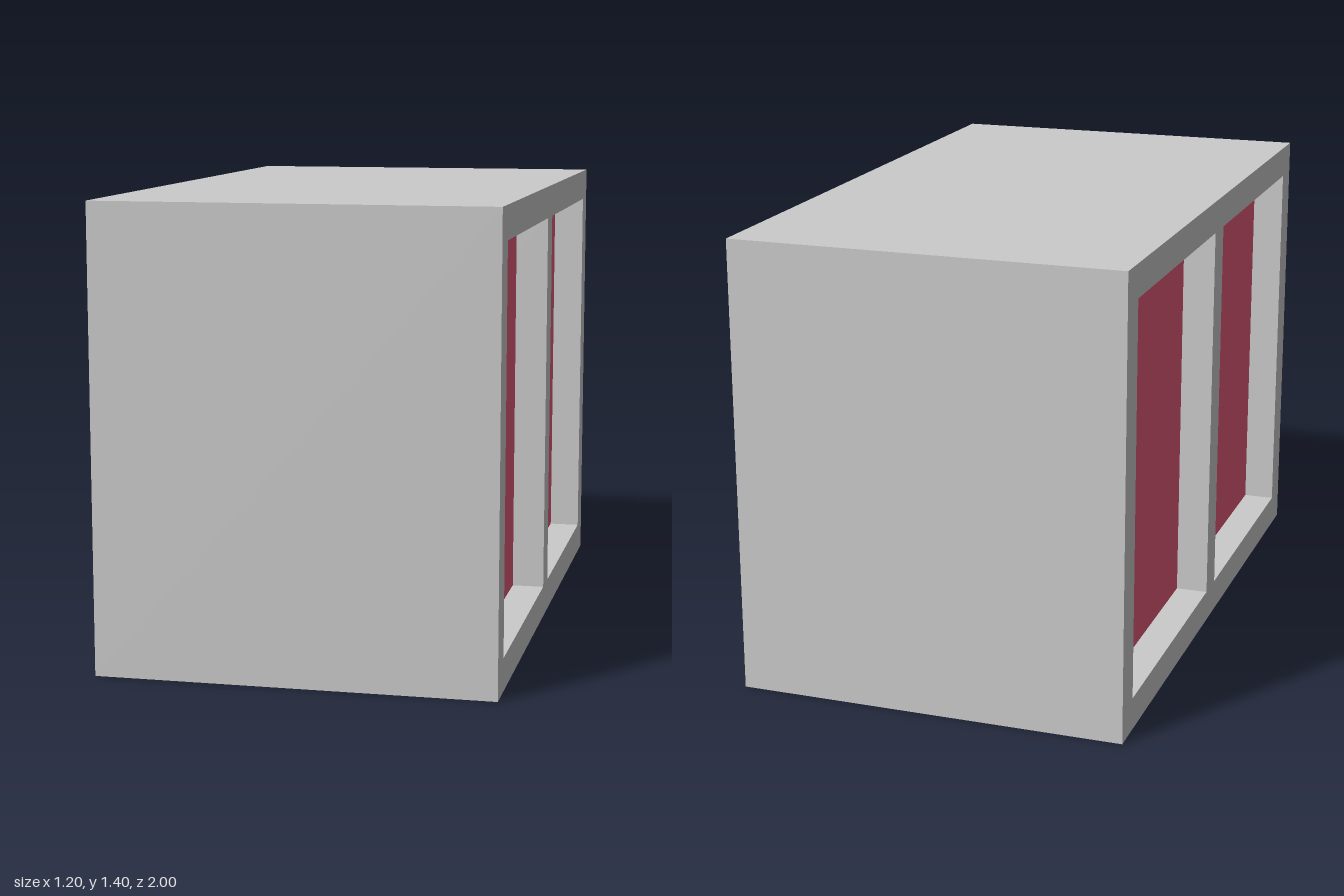
import * as THREE from 'three';

const W = 1.2, H = 1.4, L = 2;      // width (x), height (y), length (z)
const BORDER = 0.1, RECESS = 0.1, PANE = 0.02;
const OPEN_L = 0.85, OPEN_H = H - 2 * BORDER, OPEN_Z = 0.475;

// Rectangle outline centred on (cx, cy)
function rectangle(Type, cx, cy, w, h) {
  return new Type([[-1, -1], [1, -1], [1, 1], [-1, 1]].map(
    ([sx, sy]) => new THREE.Vector2(cx + sx * w / 2, cy + sy * h / 2)));
}

export function createModel() {
  const model = new THREE.Group();
  model.name = 'cabinet';
  const grey = new THREE.MeshStandardMaterial({ color: 0xcccccc, flatShading: true });
  const red = new THREE.MeshStandardMaterial({ color: 0xe75c7a, flatShading: true });

  // Side outline with two openings, extruded across the width
  const outline = rectangle(THREE.Shape, 0, H / 2, L, H);
  for (const s of [-1, 1]) {
    outline.holes.push(rectangle(THREE.Path, s * OPEN_Z, H / 2, OPEN_L, OPEN_H));
  }
  const bodyGeo = new THREE.ExtrudeGeometry(outline, { depth: W, bevelEnabled: false });
  bodyGeo.translate(0, 0, -W / 2).rotateY(Math.PI / 2);
  const body = new THREE.Mesh(bodyGeo, grey);
  body.name = 'body';
  model.add(body);

  // Recessed panels, two on each long side
  const paneGeo = new THREE.BoxGeometry(PANE, OPEN_H, OPEN_L);
  for (const sx of [-1, 1]) {
    for (const sz of [-1, 1]) {
      const panel = new THREE.Mesh(paneGeo, red);
      panel.name = `${sx > 0 ? 'left' : 'right'}${sz > 0 ? 'Front' : 'Back'}Panel`;
      panel.position.set(sx * (W / 2 - RECESS - PANE / 2), H / 2, sz * OPEN_Z);
      model.add(panel);
    }
  }
  return model;
}
